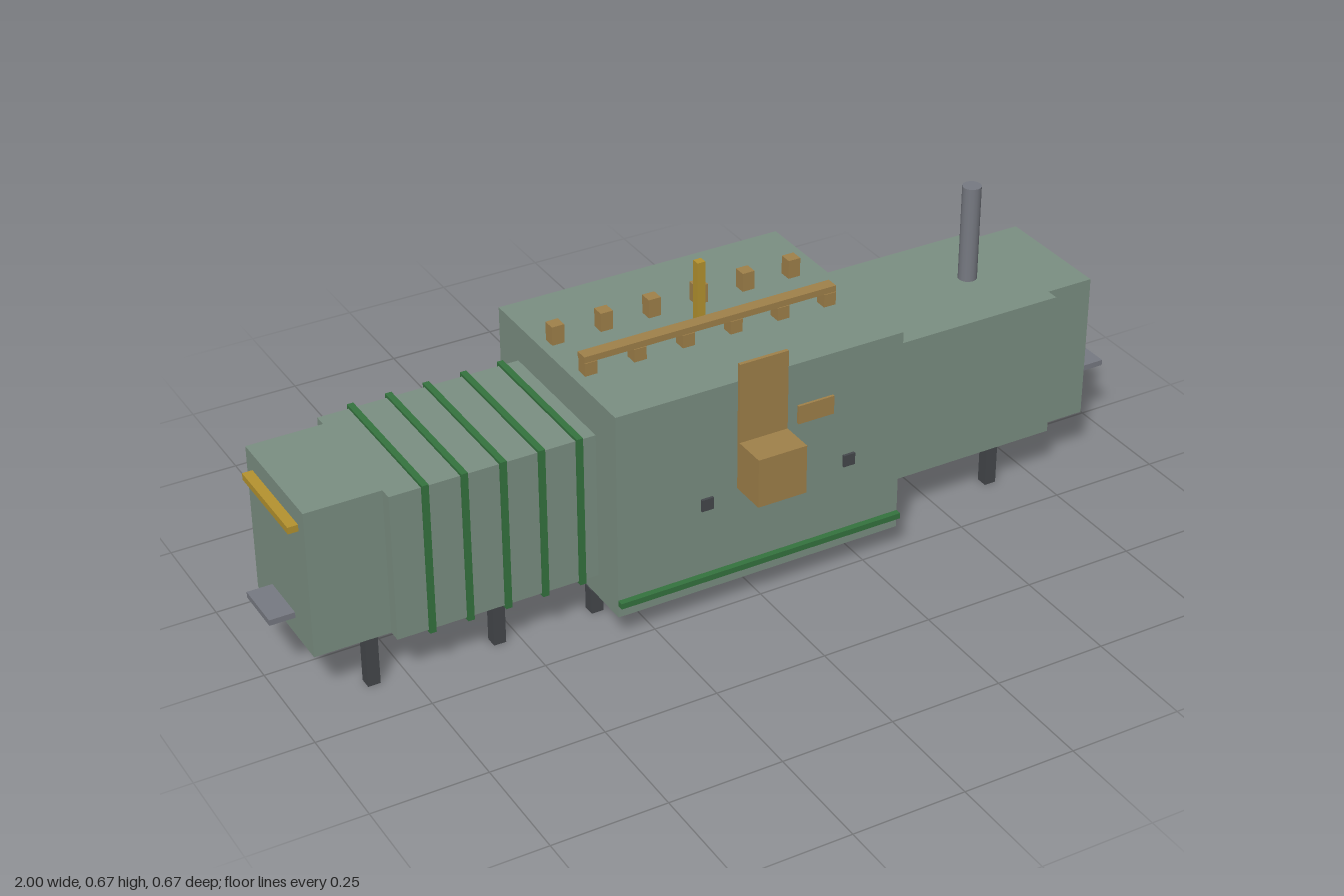
import * as THREE from 'three';

const mat = (name, color) => {
  const m = new THREE.MeshStandardMaterial({ color });
  m.name = name;
  return m;
};

export function createModel() {
  const sage = mat('sageHull', 0x7b8f82);
  const green = mat('greenTrim', 0x35733f);
  const bronze = mat('bronze', 0xa0814a);
  const yellow = mat('yellowBars', 0xb5932f);
  const steel = mat('steelGrey', 0x777a82);
  const dark = mat('darkGrey', 0x45484c);

  const model = new THREE.Group();
  model.name = 'machine';

  // Box given by its extents along each axis
  const box = (name, m, [x0, x1], [y0, y1], [z0, z1]) => {
    const mesh = new THREE.Mesh(new THREE.BoxGeometry(x1 - x0, y1 - y0, z1 - z0), m);
    mesh.position.set((x0 + x1) / 2, (y0 + y1) / 2, (z0 + z1) / 2);
    mesh.name = name;
    model.add(mesh);
    return mesh;
  };
  const around = (c, w) => [c - w / 2, c + w / 2];

  // Hull: central chamber, side tunnels and narrower end sections
  box('centralChamber', sage, [-0.333, 0.331], [0.058, 0.529], [-0.25, 0.25]);
  for (const [side, x] of [['right', [-0.78, -0.333]], ['left', [0.331, 0.775]]]) {
    box(side + 'Tunnel', sage, x, [0.112, 0.445], [-0.167, 0.167]);
  }
  box('rightEnd', sage, [-0.945, -0.78], [0.112, 0.445], [-0.139, 0.139]);
  box('leftEnd', sage, [0.775, 0.885], [0.112, 0.445], [-0.139, 0.139]);

  // Bars and trays at both ends
  box('rightEndBar', yellow, [-0.967, -0.945], [0.39, 0.405], [-0.111, 0.111]);
  box('leftEndBar', yellow, [0.885, 0.906], [0.39, 0.405], [-0.111, 0.111]);
  box('rightTray', steel, [-1, -0.9], [0.155, 0.168], [-0.056, 0.056]);
  box('leftTray', steel, [0.9, 1], [0.155, 0.168], [-0.056, 0.056]);

  // Bands wrapped around the right tunnel
  for (let i = 0; i < 5; i++) {
    box('tunnelBand', green, around(-0.705 + i * 0.0835, 0.014), [0.106, 0.451], [-0.175, 0.173]);
  }

  // Side outlet at the back and rail along the front
  box('backOutlet', green, around(-0.669, 0.028), [0.086, 0.14], [-0.333, -0.167]);
  box('frontRail', green, [-0.333, 0.331], [0.086, 0.099], [0.25, 0.264]);

  // Legs in pairs
  for (const [x, top] of [[-0.823, 0.112], [-0.545, 0.112], [-0.322, 0.058],
    [-0.046, 0.058], [0.29, 0.058], [0.651, 0.112]]) {
    for (const z of [-0.125, 0.125]) box('leg', dark, around(x, 0.027), [0, top], around(z, 0.027));
  }

  // Chimney and mast
  const chimney = new THREE.Mesh(new THREE.CylinderGeometry(0.021, 0.021, 0.221, 16), steel);
  chimney.position.set(0.661, 0.555, 0);
  chimney.name = 'chimney';
  model.add(chimney);
  box('mast', yellow, around(-0.002, 0.018), [0.529, 0.666], around(0, 0.018));

  // Two rows of roof knobs, the front row joined by a bar
  for (let i = 0; i < 6; i++) {
    for (const z of [-0.07, 0.07]) {
      box('roofKnob', bronze, around(-0.296 + i * 0.111, 0.028), [0.529, z > 0 ? 0.558 : 0.571], around(z, 0.028));
    }
  }
  box('roofBar', bronze, [-0.31, 0.274], [0.558, 0.572], around(0.068, 0.028));

  // Front control box with its panel, small plate and ports
  box('controlBox', bronze, [-0.058, 0.054], [0.279, 0.39], [0.25, 0.333]);
  box('controlPanel', bronze, [-0.058, 0.054], [0.39, 0.571], [0.25, 0.258]);
  box('smallPlate', bronze, [0.081, 0.165], [0.39, 0.432], [0.25, 0.256]);
  for (const x of [-0.129, 0.038, 0.206]) {
    box('frontPort', dark, around(x, 0.027), [0.252, 0.279], [0.25, 0.256]);
  }

  return model;
}
